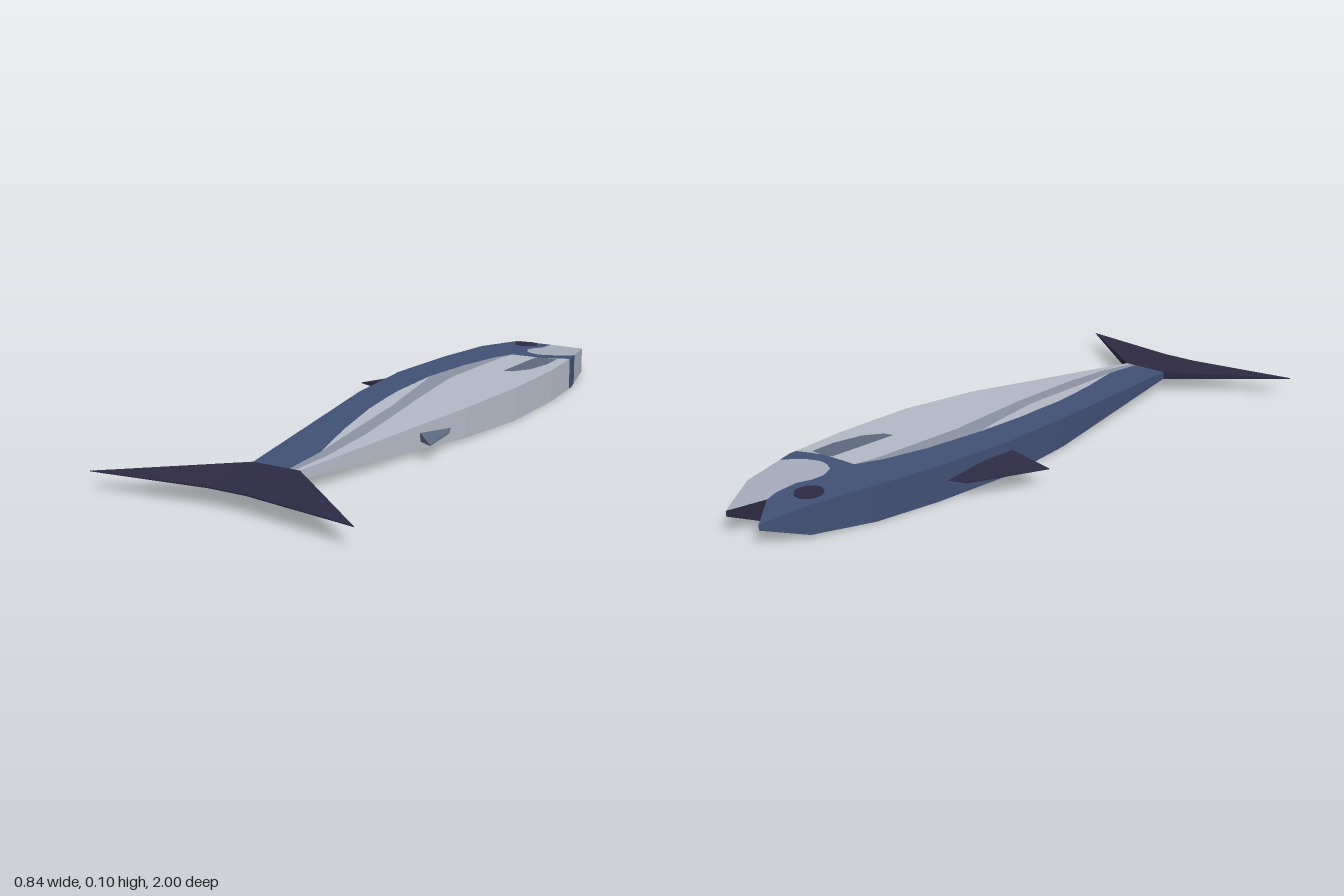
import * as THREE from 'three';

const MID = 0.0525; // height of the fish's central plane

const mat = (name, color, side = THREE.FrontSide) => {
  const m = new THREE.MeshStandardMaterial({ color, side });
  m.name = name;
  return m;
};

// Piecewise-linear curve through [z, value] points
const curve = (pts) => {
  const f = (z) => {
    if (z <= pts[0][0]) return pts[0][1];
    for (let i = 1; i < pts.length; i++) {
      const [z0, v0] = pts[i - 1], [z1, v1] = pts[i];
      if (z <= z1) return v0 + (v1 - v0) * (z - z0) / (z1 - z0);
    }
    return pts[pts.length - 1][1];
  };
  f.stations = pts.map((p) => p[0]);
  return f;
};

// Body outline and half thickness
const left = curve([[-1, -0.07], [-0.88, -0.13], [-0.69, -0.176], [-0.48, -0.203], [-0.2, -0.215], [0.07, -0.19], [0.74, -0.08]]);
const right = curve([[-1, 0.065], [-0.88, 0.125], [-0.69, 0.176], [-0.48, 0.203], [-0.2, 0.213], [0.07, 0.19], [0.74, 0.075]]);
const half = curve([[-1, 0.008], [-0.88, 0.042], [-0.69, 0.0525], [-0.2, 0.0525], [0.07, 0.046], [0.74, 0.012]]);

// Mouth notch and cheek edges
const upperLip = curve([[-1, -0.07], [-0.915, 0]]);
const lowerLip = curve([[-1, 0.065], [-0.915, 0]]);
const cheekL = curve([[-0.915, 0], [-0.81, 0.005], [-0.77, -0.012], [-0.73, -0.015], [-0.69, 0.005], [-0.675, 0.035], [-0.67, 0.06]]);
const cheekR = curve([[-0.915, 0.3], [-0.7351, 0.3], [-0.735, 0.165], [-0.69, 0.115], [-0.675, 0.08], [-0.67, 0.06]]);

// Colour borders along the flank
const backEdge = curve([[-0.665, 0.18], [-0.645, 0.135], [-0.63, 0.085], [-0.625, -0.02], [-0.55, -0.05], [-0.4, -0.08],
  [-0.2, -0.097], [0, -0.09], [0.2, -0.065], [0.4, -0.02], [0.59, 0.035], [0.74, 0.04]]);
const stripeL = curve([[-0.665, -0.1], [-0.2, -0.097], [-0.1, -0.07], [0.14, -0.02], [0.4, 0.01], [0.59, 0.035], [0.74, 0.04]]);
const stripeR = curve([[-0.625, -0.02], [-0.55, -0.03], [-0.23, -0.03], [-0.12, -0.015], [0.14, 0.025], [0.4, 0.06], [0.6, 0.07], [0.74, 0.06]]);
const patchL = curve([[-0.665, 0.07], [0.74, 0.07]]);
const patchR = curve([[-0.636, 0.07], [-0.635, 0.145], [-0.55, 0.15], [-0.455, 0.135], [-0.4, 0.1], [-0.39, 0.07]]);

function meshFrom(name, positions, material) {
  const g = new THREE.BufferGeometry();
  g.setAttribute('position', new THREE.Float32BufferAttribute(positions, 3));
  g.computeVertexNormals();
  const mesh = new THREE.Mesh(g, material);
  mesh.name = name;
  return mesh;
}

// Closed fin from [x, z, halfThickness] points, mirrored above and below the central plane
function fin(name, pts, material) {
  const flat = pts.map(([x, z]) => new THREE.Vector2(x, z));
  if (!THREE.ShapeUtils.isClockWise(flat)) { pts = pts.slice().reverse(); flat.reverse(); }
  const pos = [];
  const put = (i, s) => pos.push(pts[i][0], MID + s * pts[i][2], pts[i][1]);
  for (const [a, b, c] of THREE.ShapeUtils.triangulateShape(flat, [])) {
    const cw = THREE.ShapeUtils.isClockWise([flat[a], flat[b], flat[c]]);
    const t = cw ? [a, b, c] : [a, c, b];
    t.forEach((i) => put(i, 1));
    t.slice().reverse().forEach((i) => put(i, -1));
  }
  pts.forEach((_, i) => {
    const j = (i + 1) % pts.length;
    put(i, 1); put(i, -1); put(j, -1);
    put(i, 1); put(j, -1); put(j, 1);
  });
  return meshFrom(name, pos, material);
}

export function createModel() {
  const model = new THREE.Group();
  model.name = 'fish';
  const blue = mat('back blue', 0x405174);
  const silver = mat('belly silver', 0xb2b8c5);
  const headGrey = mat('head silver', 0xa4abba);
  const grey = mat('stripe grey', 0x8a92a3);
  const slate = mat('gill slate', 0x5d697f, THREE.DoubleSide);
  const dark = mat('fin dark', 0x2d2a44, THREE.DoubleSide);

  const parts = { back: [], belly: [], head: [], stripe: [], gillPatch: [], mouth: [] };

  // Upper and lower faces of a strip between two border curves
  const strip = (part, a, b, z0, z1) => {
    const a0 = a(z0), a1 = a(z1), b0 = b(z0), b1 = b(z1);
    if (b0 - a0 < 1e-5 && b1 - a1 < 1e-5) return;
    const h0 = half(z0), h1 = half(z1);
    for (const s of [1, -1]) {
      const p = [[a0, MID + s * h0, z0], [a1, MID + s * h1, z1], [b1, MID + s * h1, z1], [b0, MID + s * h0, z0]];
      if (s < 0) p.reverse();
      for (const i of [0, 1, 2, 0, 2, 3]) parts[part].push(...p[i]);
    }
  };
  // Upright wall along a curve, facing +x or -x
  const wall = (part, a, z0, z1, dir) => {
    const h0 = half(z0), h1 = half(z1);
    const p = [[a(z0), MID - h0, z0], [a(z0), MID + h0, z0], [a(z1), MID + h1, z1], [a(z1), MID - h1, z1]];
    if (dir < 0) p.reverse();
    for (const i of [0, 1, 2, 0, 2, 3]) parts[part].push(...p[i]);
  };

  const all = [left, right, half, upperLip, lowerLip, cheekL, cheekR, backEdge, stripeL, stripeR, patchL, patchR];
  const rows = [...new Set(all.flatMap((c) => c.stations))].sort((a, b) => a - b);

  // Flank borders kept in order so strips never overlap
  const order = [backEdge, stripeL, stripeR, patchL, patchR, right];
  const border = order.map((_, n) => (z) =>
    Math.min(right(z), Math.max(...order.slice(0, n + 1).map((c) => c(z)))));
  const cheekEnd = (z) => Math.min(cheekR(z), right(z));

  for (let i = 1; i < rows.length; i++) {
    const z0 = rows[i - 1], z1 = rows[i], z = (z0 + z1) / 2;
    wall('back', left, z0, z1, -1);
    wall(z < -0.735 ? 'head' : z < -0.665 ? 'back' : 'belly', right, z0, z1, 1);
    if (z < -0.915) { // jaws
      strip('back', left, upperLip, z0, z1);
      strip('head', lowerLip, right, z0, z1);
      wall('mouth', upperLip, z0, z1, 1);
      wall('mouth', lowerLip, z0, z1, -1);
    } else if (z < -0.67) { // head and gill band
      strip('back', left, cheekL, z0, z1);
      strip('head', cheekL, cheekEnd, z0, z1);
      strip('back', cheekEnd, right, z0, z1);
    } else if (z < -0.665) {
      strip('back', left, right, z0, z1);
    } else { // flank
      strip('back', left, border[0], z0, z1);
      ['belly', 'stripe', 'belly', 'gillPatch', 'belly'].forEach((part, n) =>
        strip(part, border[n], border[n + 1], z0, z1));
    }
  }
  const materials = { back: blue, belly: silver, head: headGrey, stripe: grey, gillPatch: slate, mouth: dark };
  for (const name in parts) model.add(meshFrom(name, parts[name], materials[name]));

  // Fins and tail
  model.add(fin('dorsalFin', [[-0.195, -0.45, 0], [-0.255, -0.42, 0.002], [-0.355, -0.19, 0.001],
    [-0.205, -0.19, 0.024], [-0.195, -0.3, 0.024]], dark));
  model.add(fin('bellyFin', [[0.17, 0.12, 0.001], [0.205, 0.19, 0.001], [0.225, 0.33, 0.001], [0.155, 0.27, 0.013]], slate));
  model.add(fin('tail', [[-0.08, 0.74, 0.012], [0.075, 0.74, 0.012], [0.42, 1, 0.001],
    [0.06, 0.947, 0.002], [-0.06, 0.947, 0.002], [-0.42, 1, 0.001]], dark));

  // Eyes, one on each flat side
  for (const s of [1, -1]) {
    const eye = new THREE.Mesh(new THREE.CylinderGeometry(0.04, 0.04, 0.006, 20), dark);
    eye.position.set(-0.07, MID + s * half(-0.83), -0.83);
    eye.rotation.x = -s * 0.055;
    eye.name = s > 0 ? 'upperEye' : 'lowerEye';
    model.add(eye);
  }
  return model;
}
